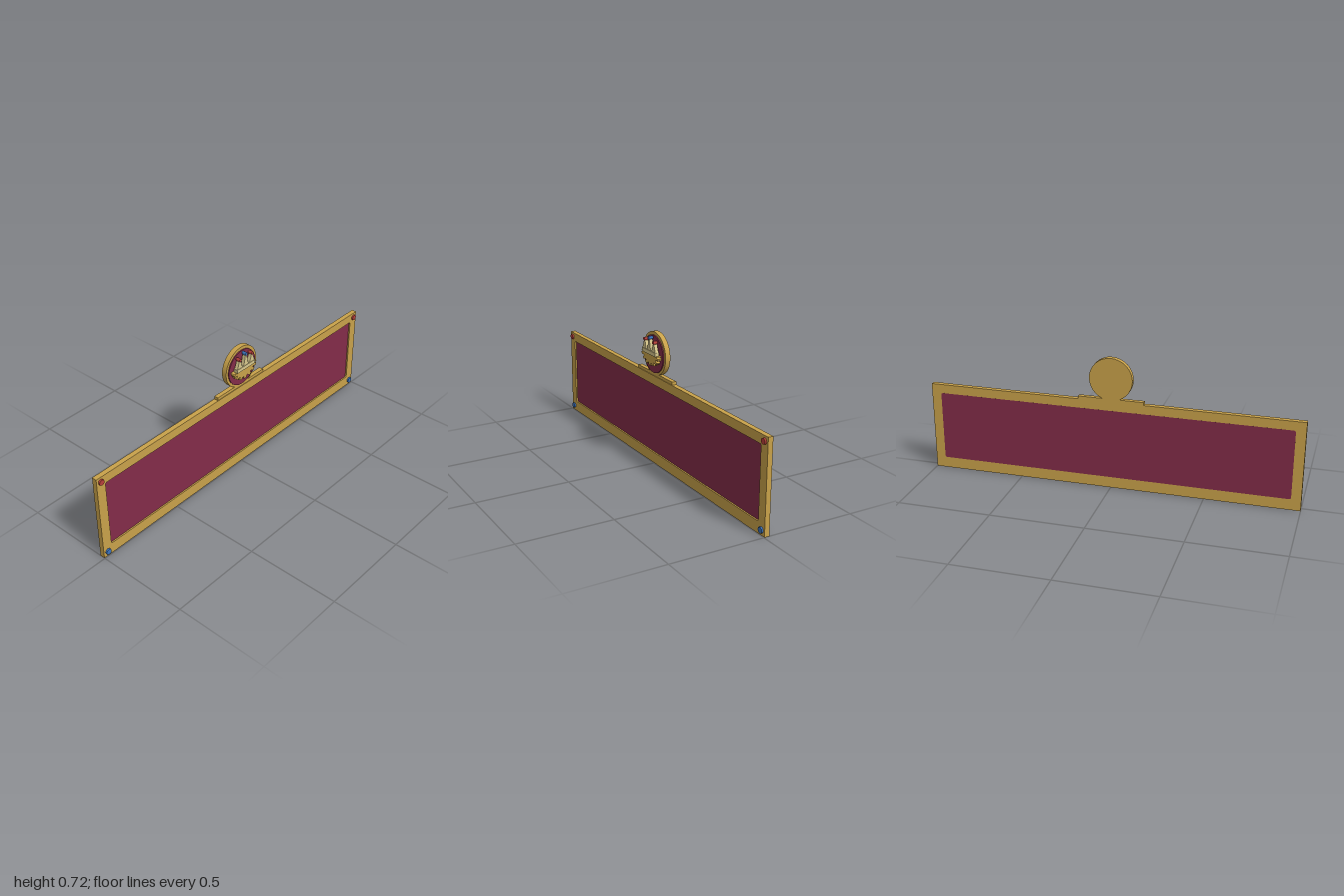
import * as THREE from 'three';

const mat = (name, color) => new THREE.MeshStandardMaterial({ name, color });

// Rectangle with small rounded corners
function roundedRect(Target, x, y0, y1, r) {
  const s = new Target();
  s.moveTo(-x + r, y0);
  s.lineTo(x - r, y0);
  s.quadraticCurveTo(x, y0, x, y0 + r);
  s.lineTo(x, y1 - r);
  s.quadraticCurveTo(x, y1, x - r, y1);
  s.lineTo(-x + r, y1);
  s.quadraticCurveTo(-x, y1, -x, y1 - r);
  s.lineTo(-x, y0 + r);
  s.quadraticCurveTo(-x, y0, -x + r, y0);
  return s;
}

export function createModel() {
  const model = new THREE.Group();
  model.name = 'nameplate';
  const gold = mat('gold', 0xc9a24a);
  const maroon = mat('maroon', 0x832c49);
  const cream = mat('cream', 0xd8c88e);
  const red = mat('red', 0xb8403a);
  const blue = mat('blue', 0x3a72bd);

  const add = (name, geometry, material, x = 0, y = 0, z = 0, parent = model) => {
    const mesh = new THREE.Mesh(geometry, material);
    mesh.name = name;
    mesh.position.set(x, y, z);
    parent.add(mesh);
    return mesh;
  };
  // Solids running from z0 to z1
  const extrude = (name, shape, z0, z1, material, parent) =>
    add(name, new THREE.ExtrudeGeometry(shape, { depth: z1 - z0, bevelEnabled: false, curveSegments: 4 }),
      material, 0, 0, z0, parent);
  const disc = (name, r, sides, x, y, z0, z1, material, parent) =>
    add(name, new THREE.CylinderGeometry(r, r, z1 - z0, sides).rotateX(Math.PI / 2),
      material, x, y, (z0 + z1) / 2, parent);
  const polygon = pts => new THREE.Shape(pts.map(p => new THREE.Vector2(...p)));

  // Frame with its sunken panel, which is flush at the back
  const frame = polygon([[-1, 0], [1, 0], [1, 0.486], [-1, 0.486]]);
  frame.holes.push(roundedRect(THREE.Path, 0.948, 0.06, 0.437, 0.012));
  extrude('frame', frame, -0.03, -0.003, gold);
  extrude('panel', roundedRect(THREE.Shape, 0.948, 0.06, 0.437, 0.012), -0.0302, -0.011, maroon);

  // Step carrying the medallion
  add('crestStep', new THREE.BoxGeometry(0.35, 0.018, 0.024), gold, 0, 0.493, -0.018);

  // Corner studs
  for (const x of [-0.974, 0.974]) {
    disc('upperStud', 0.016, 8, x, 0.46, -0.004, 0.006, red);
    disc('lowerStud', 0.016, 8, x, 0.028, -0.004, 0.006, blue);
  }

  // Medallion
  const crest = new THREE.Group();
  crest.name = 'medallion';
  model.add(crest);
  disc('medallionRim', 0.115, 32, 0, 0.608, -0.0305, -0.003, gold, crest);
  disc('medallionField', 0.1, 32, 0, 0.606, -0.004, 0.003, maroon, crest);

  // Lower half of the emblem: a bowl with a toothed edge
  const bowl = [[0.088, 0.612], [-0.088, 0.612]];
  const teeth = 7;
  for (let i = 0; i < teeth; i++) {
    for (const [t, k] of [[0.1, 0.78], [0.3, 1], [0.7, 1], [0.9, 0.78]]) {
      const a = Math.PI * (1 + (i + t) / teeth);
      bowl.push([Math.cos(a) * 0.085 * k, 0.61 + Math.sin(a) * 0.062 * k]);
    }
  }
  extrude('toothedBowl', polygon(bowl), 0.002, 0.025, gold, crest);

  // Upper half: wall, three spires and their gems
  add('wall', new THREE.BoxGeometry(0.136, 0.02, 0.023), cream, 0, 0.62, 0.0195, crest);
  for (const [x, top, gem] of [[-0.046, 0.672, red], [0, 0.688, blue], [0.046, 0.672, red]]) {
    extrude('spire', polygon([[x - 0.021, 0.628], [x + 0.021, 0.628], [x + 0.014, 0.645],
      [x + 0.005, top], [x - 0.005, top], [x - 0.014, 0.645]]), 0.01, 0.029, cream, crest);
    disc('spireGem', 0.009, 8, x, top + 0.007, 0.008, 0.032, gem, crest);
  }
  return model;
}
